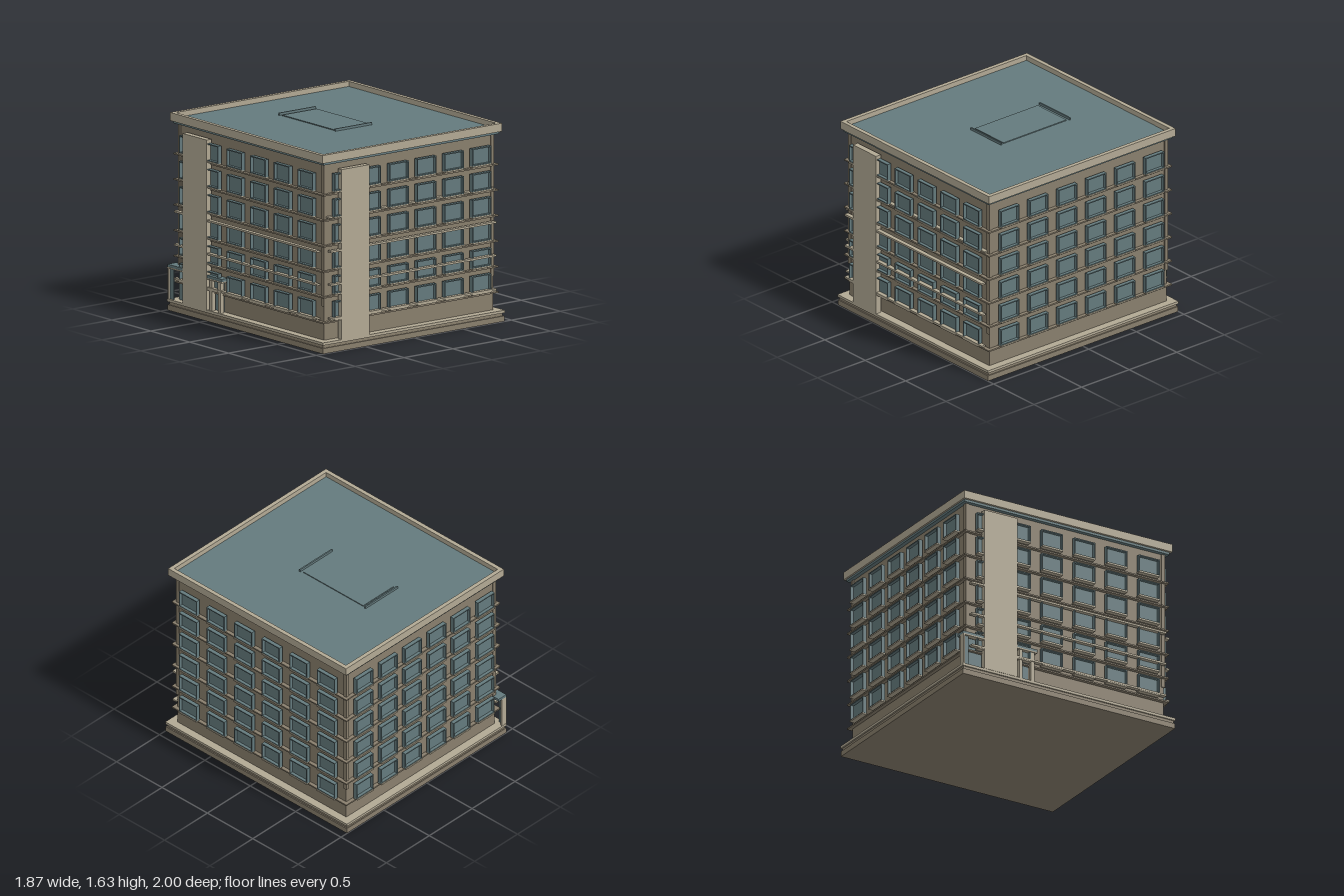
import * as THREE from 'three';

const mat = (name, color) => {
  const m = new THREE.MeshStandardMaterial({ color });
  m.name = name;
  return m;
};

export function createModel() {
  const wall = mat('taupe wall', 0x897f6d);
  const trim = mat('pale stone', 0xb2a994);
  const teal = mat('slate teal', 0x647a7d);
  const root = new THREE.Group();
  root.name = 'officeBuilding';

  // box given by its min and max along each axis
  const box = (name, m, [x0, x1], [y0, y1], [z0, z1], parent = root) => {
    const mesh = new THREE.Mesh(new THREE.BoxGeometry(x1 - x0, y1 - y0, z1 - z0), m);
    mesh.name = name;
    mesh.position.set((x0 + x1) / 2, (y0 + y1) / 2, (z0 + z1) / 2);
    parent.add(mesh);
    return mesh;
  };
  const slab = (name, m, hx, y, hz) => box(name, m, [-hx, hx], y, [-hz, hz]);

  // stepped base and main block
  slab('baseFoot', wall, 0.93, [0, 0.045], 0.998);
  slab('baseStep', wall, 0.92, [0.045, 0.07], 0.988);
  slab('baseLip', trim, 0.932, [0.07, 0.092], 1);
  slab('body', wall, 0.865, [0.09, 1.55], 0.93);

  // string courses below every floor
  const floors = [0, 1, 2, 3, 4, 5].map(i => 0.255 + i * 0.21);
  floors.forEach(y => slab('stringCourse', wall, 0.897, [y - 0.022, y - 0.01], 0.962));

  // corner posts
  for (const sx of [-1, 1]) for (const sz of [-1, 1]) {
    const p = box('cornerPost', wall, [-0.016, 0.016], [0.37, 1.54], [-0.016, 0.016]);
    p.position.x = sx * 0.857;
    p.position.z = sz * 0.922;
  }

  // cornice, roof and parapet
  slab('corniceBand', teal, 0.9, [1.54, 1.565], 0.965);
  slab('roof', teal, 0.89, [1.56, 1.585], 0.95);
  const ring = (hx, hz, P) => {
    const p = new P();
    p.moveTo(-hx, -hz); p.lineTo(hx, -hz); p.lineTo(hx, hz); p.lineTo(-hx, hz); p.closePath();
    return p;
  };
  const frameGeo = (hx, hy, t, depth) => {
    const s = ring(hx, hy, THREE.Shape);
    s.holes.push(ring(hx - t, hy - t, THREE.Path));
    return new THREE.ExtrudeGeometry(s, { depth, bevelEnabled: false });
  };
  const parapet = new THREE.Mesh(frameGeo(0.92, 0.98, 0.035, 0.067), trim);
  parapet.name = 'parapet';
  parapet.rotation.x = -Math.PI / 2;
  parapet.position.y = 1.56;
  root.add(parapet);

  // roof hatch with a low bar at each end
  box('roofHatch', teal, [-0.18, 0.175], [1.584, 1.592], [-0.465, 0.195]);
  for (const z of [-0.495, 0.225]) box('hatchBar', teal, [-0.19, 0.185], [1.584, 1.605], [z - 0.006, z + 0.006]);

  // one window: frame, recessed pane and sill
  const frame = frameGeo(0.098, 0.0725, 0.009, 0.034);
  const pane = new THREE.BoxGeometry(0.18, 0.13, 0.006);
  const sill = new THREE.BoxGeometry(0.192, 0.012, 0.044);
  const makeWindow = () => {
    const g = new THREE.Group();
    g.name = 'window';
    [['windowFrame', frame, teal, 0, 0.025], ['windowPane', pane, teal, 0, 0.029],
      ['windowSill', sill, trim, -0.077, 0.043]].forEach(([name, geo, m, y, z]) => {
      const mesh = new THREE.Mesh(geo, m);
      mesh.name = name;
      mesh.position.set(0, y, z);
      g.add(mesh);
    });
    return g;
  };

  // four facades, each with six floors of six windows; local +z points outwards
  const facades = [
    ['frontFacade', 0, 0.93, 0.2825], ['rightFacade', Math.PI / 2, 0.865, 0.304],
    ['backFacade', Math.PI, 0.93, 0.2825], ['leftFacade', -Math.PI / 2, 0.865, 0.304],
  ].map(([name, turn, out, pitch]) => {
    const f = new THREE.Group();
    f.name = name;
    f.rotation.y = turn;
    f.position.set(Math.sin(turn) * out, 0, Math.cos(turn) * out);
    for (const y of floors) for (let c = 0; c < 6; c++) {
      const w = makeWindow();
      w.position.set((c - 2.5) * pitch, y + 0.083, 0);
      f.add(w);
    }
    root.add(f);
    return f;
  });

  // tall slab and long rails on the front and the -x facade
  const [front, , , side] = facades;
  [[front, [-0.74, -0.455], 0.85], [side, [-0.8, -0.49], 0.915]].forEach(([f, span, half]) => {
    box('tallSlab', trim, span, [0.09, 1.49], [0.02, 0.07], f);
    [0.273, 0.553, 0.826].forEach(y =>
      box('longRail', trim, [-half, half], [y - 0.008, y + 0.008], [0.03, 0.067], f));
  });
  box('thinRail', trim, [-0.85, 0.85], [1.094, 1.108], [-0.005, 0.035], front);

  // corner entrance with canopy, posts and glazing
  box('entranceCanopy', teal, [-0.93, -0.84], [0.355, 0.378], [-0.998, -0.3]);
  box('canopyEdge', trim, [-0.933, -0.885], [0.345, 0.356], [-0.998, -0.3]);
  box('entranceCornerPost', trim, [-0.932, -0.88], [0.09, 0.355], [-0.998, -0.982]);
  box('entranceGlass', teal, [-0.915, -0.905], [0.09, 0.35], [-0.982, -0.94]);
  box('entranceSideGlass', teal, [-0.872, -0.864], [0.09, 0.35], [-0.92, -0.35]);
  for (const z of [-0.45, -0.34]) box('entrancePost', trim, [-0.925, -0.89], [0.09, 0.35], [z - 0.015, z + 0.015]);

  return root;
}
